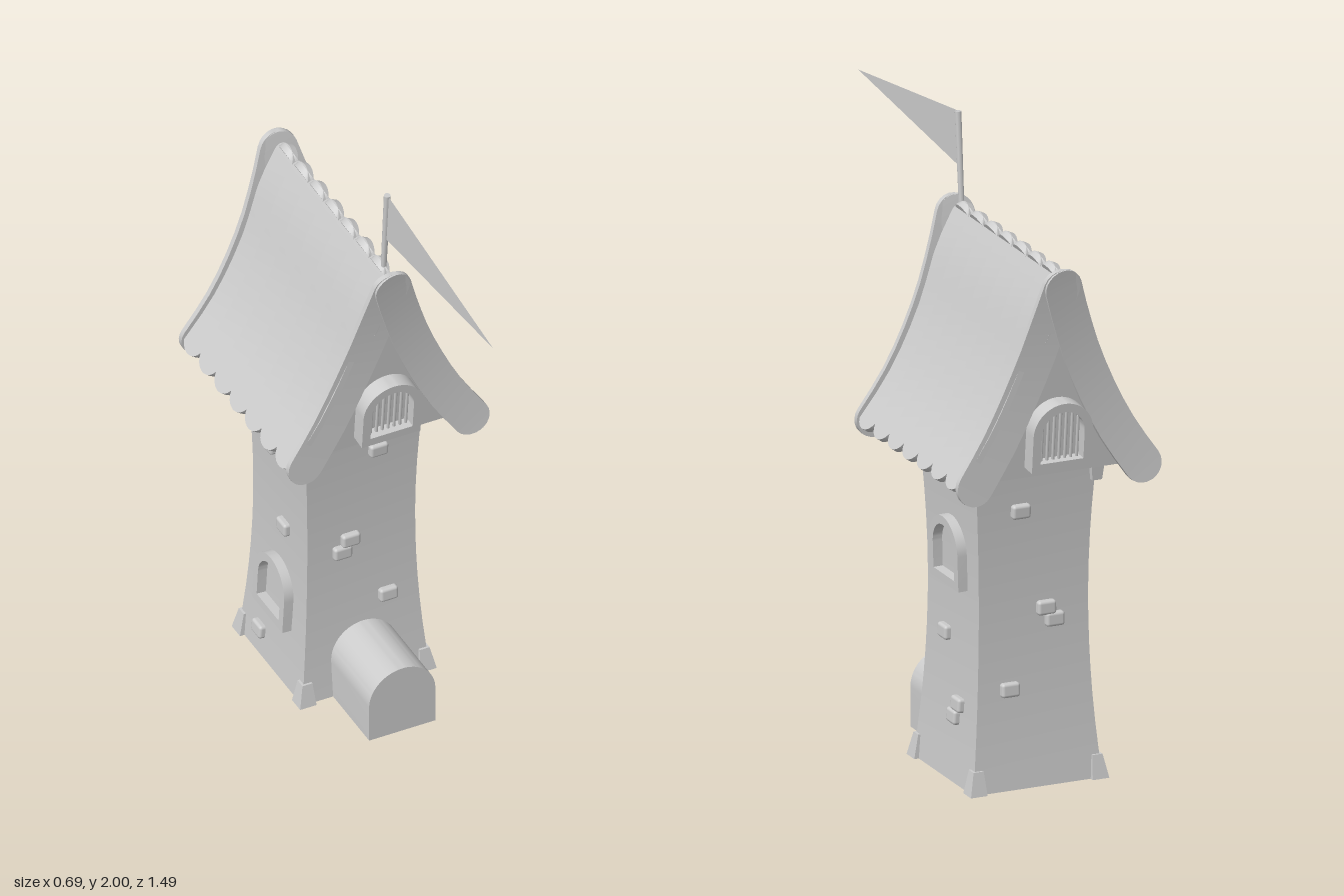
import * as THREE from 'three';
import { toCreasedNormals } from 'three/addons/utils/BufferGeometryUtils.js';
import { RoundedBoxGeometry } from 'three/addons/geometries/RoundedBoxGeometry.js';

const V = (x, y, z) => new THREE.Vector3(x, y, z);
const grey = new THREE.MeshStandardMaterial({ color: 0xcccccc });
const thin = new THREE.MeshStandardMaterial({ color: 0xcccccc, side: THREE.DoubleSide });
const ZC = -0.335; // z of the tower's axis

// Half width of the waisted tower and its slope at height y
const wallAt = (y) => 0.184 + 0.1 * (y - 0.58) ** 2;
const wallSlope = (y) => 0.2 * (y - 0.58);

function add(parent, name, geometry, material = grey) {
  const mesh = new THREE.Mesh(geometry, material);
  mesh.name = name;
  parent.add(mesh);
  return mesh;
}

// Skin over cross-section rings that turn counter-clockwise about the direction of travel
function loft(rings, { closed = true, capStart = true, capEnd = true } = {}) {
  const pos = [];
  const tri = (...pts) => pts.forEach((p) => pos.push(p.x, p.y, p.z));
  const n = rings[0].length;
  for (let i = 0; i < rings.length - 1; i++) {
    for (let j = 0; j < (closed ? n : n - 1); j++) {
      const k = (j + 1) % n, a = rings[i], b = rings[i + 1];
      tri(a[j], a[k], b[k]);
      tri(a[j], b[k], b[j]);
    }
  }
  const first = rings[0], last = rings[rings.length - 1];
  for (let j = 1; j < n - 1; j++) {
    if (capStart) tri(first[0], first[j + 1], first[j]);
    if (capEnd) tri(last[0], last[j], last[j + 1]);
  }
  const g = new THREE.BufferGeometry();
  g.setAttribute('position', new THREE.Float32BufferAttribute(pos, 3));
  return toCreasedNormals(g, 0.55);
}

// Rectangle ring around c spanned by half vectors a and b
const rect = (c, a, b) => [[-1, -1], [1, -1], [1, 1], [-1, 1]].map(([i, j]) =>
  c.clone().addScaledVector(a, i).addScaledVector(b, j));
const square = (x, y, z, h) => rect(V(x, y, z), V(0, 0, h), V(h, 0, 0));

// Round-ended board following a curve in the xy plane; halfZ and halfN may depend on the rounding
function bentBoard(curve, radius, halfZ, halfN, zAt) {
  const L = curve.getLength(), stops = [];
  for (let k = 0; k <= 5; k++) stops.push(radius * (1 - Math.cos((0.06 + 0.94 * k / 5) * Math.PI / 2)));
  const ends = stops.map((s) => L - s).reverse();
  for (let k = 1; k < 9; k++) stops.push(radius + (L - 2 * radius) * k / 9);
  return loft([...stops, ...ends].map((s) => {
    const e = Math.min(s, L - s, radius);
    const f = Math.sqrt(1 - (1 - e / radius) ** 2);
    const p = curve.getPointAt(s / L), d = curve.getTangentAt(s / L);
    p.z = zAt(p.y);
    return rect(p, V(0, 0, halfZ(f)), V(d.y, -d.x, 0).multiplyScalar(halfN(f)));
  }));
}

const roofCurve = (side, pts) => new THREE.CatmullRomCurve3(pts.map(([x, y]) => V(side * x, y, 0)));

function arch(w, h, y0 = 0, Type = THREE.Shape) {
  const s = new Type();
  s.moveTo(-w, y0);
  s.lineTo(w, y0);
  s.lineTo(w, h - w);
  s.absarc(0, h - w, w, 0, Math.PI, false);
  s.lineTo(-w, y0);
  return s;
}

function windowFrame(w, h, border, depth) {
  const shape = arch(w, h);
  shape.holes.push(arch(w - border, h - border, border, THREE.Path));
  const g = new THREE.ExtrudeGeometry(shape, { depth, bevelEnabled: false, curveSegments: 16 });
  return toCreasedNormals(g, 0.55);
}

// Pivot on one wall of the tower: u runs to the viewer's right when facing that wall
function onWall(parent, name, angle, u, y) {
  const turn = new THREE.Group(), pivot = new THREE.Group();
  turn.name = name;
  turn.position.z = ZC;
  turn.rotation.y = angle;
  pivot.position.set(u, y, wallAt(y));
  pivot.rotation.x = Math.atan(wallSlope(y));
  turn.add(pivot);
  parent.add(turn);
  return pivot;
}

// Gable trim for one end: barge boards and a barred window
function gableEnd(angle) {
  const g = new THREE.Group();
  g.name = angle ? 'backGable' : 'frontGable';
  g.position.z = ZC;
  g.rotation.y = angle;
  for (const side of [-1, 1]) {
    const curve = roofCurve(side, [[-0.015, 1.72], [0.035, 1.555], [0.09, 1.4], [0.19, 1.19], [0.315, 1.0]]);
    const zAt = (y) => 0.355 + 0.2 * (y - 1.25) ** 2 + side * 0.002;
    add(g, 'bargeBoard', bentBoard(curve, 0.06, () => 0.009, (f) => 0.061 * f, zAt));
  }
  const win = new THREE.Group();
  win.name = 'barredWindow';
  win.position.set(0, 1.08, 0.333);
  win.rotation.x = 0.1;
  add(win, 'windowFrame', windowFrame(0.1, 0.22, 0.028, 0.055));
  add(win, 'windowPane', new THREE.ShapeGeometry(arch(0.08, 0.2, 0.02))).position.z = 0.014;
  for (let i = -3; i <= 3; i++) {
    const x = i * 0.02, top = 0.122 + Math.sqrt(0.072 ** 2 - x * x);
    const bar = add(win, 'windowBar', new THREE.CylinderGeometry(0.005, 0.005, top - 0.025, 6));
    bar.position.set(x, (top + 0.025) / 2, 0.03);
  }
  g.add(win);
  return g;
}

export function createModel() {
  const model = new THREE.Group();
  model.name = 'tower';

  // Waisted tower body, open underneath
  const rings = [];
  for (let i = 0; i <= 12; i++) {
    const y = 1.05 * i / 12;
    rings.push(square(0, y, ZC, wallAt(y)));
  }
  add(model, 'towerWall', loft(rings, { capStart: false }), thin);

  // Corner feet and corbels
  for (const sx of [-1, 1]) for (const sz of [-1, 1]) {
    const block = (y0, c0, h0, y1, c1, h1) => loft([
      square(sx * c0, y0, ZC + sz * c0, h0), square(sx * c1, y1, ZC + sz * c1, h1)]);
    add(model, 'cornerFoot', block(0, 0.205, 0.028, 0.075, 0.2, 0.017));
    add(model, 'cornerCorbel', block(0.96, 0.2, 0.016, 1.05, 0.2, 0.026));
  }

  // Loose stones on the four walls: angle, u, y
  const stones = [];
  for (const [x, y] of [[0.05, 0.89], [-0.04, 0.565], [-0.068, 0.525], [0.085, 0.318]]) {
    stones.push([0, x, y], [Math.PI, -x, y]);
  }
  for (const [z, y] of [[-0.29, 0.45], [-0.405, 0.25], [-0.38, 0.205]]) stones.push([Math.PI / 2, ZC - z, y]);
  for (const [z, y] of [[-0.41, 0.865], [-0.385, 0.82], [-0.3, 0.56], [-0.42, 0.09]]) stones.push([-Math.PI / 2, z - ZC, y]);
  for (const [angle, u, y] of stones) {
    add(onWall(model, 'wallStone', angle, u, y), 'stone', new RoundedBoxGeometry(0.062, 0.046, 0.04, 2, 0.01));
  }

  // Arched side windows, high on the left wall and low on the right
  for (const [angle, y] of [[Math.PI / 2, 0.73], [-Math.PI / 2, 0.312]]) {
    const frame = windowFrame(0.103, 0.216, 0.028, 0.04).translate(0, -0.108, -0.008);
    add(onWall(model, 'sideWindow', angle, 0, y), 'windowFrame', frame);
  }

  // Barrel-vaulted porch, open underneath
  const outline = arch(0.113, 0.24).getPoints(20).slice(1);
  const vault = [-0.14, 0.128].map((z) => outline.map((p) => V(p.x, p.y, z)));
  add(model, 'porchVault', loft(vault, { closed: false, capStart: false, capEnd: false }), thin);
  add(model, 'porchFront', new THREE.ShapeGeometry(arch(0.113, 0.24), 20), thin).position.z = 0.128;

  // Attic prism with gables leaning outwards
  add(model, 'attic', loft([-1, 1].map((s) => [
    V(-0.23, 1.045, ZC + s * 0.33), V(0.23, 1.045, ZC + s * 0.33), V(0, 1.6, ZC + s * 0.385)])));
  model.add(gableEnd(0), gableEnd(Math.PI));

  // Roof planks with rounded ends, crossing at the ridge
  for (const side of [-1, 1]) {
    const curve = roofCurve(side, [[-0.012, 1.718], [0.058, 1.58], [0.13, 1.39], [0.225, 1.2], [0.338, 1.035]]);
    for (let i = -3; i <= 3; i++) {
      const z = ZC + i * 0.104;
      add(model, 'roofPlank', bentBoard(curve, 0.05, (f) => 0.054 * f, () => 0.01, () => z));
    }
  }

  // Pole and pennant
  const pole = add(model, 'flagPole', new THREE.CylinderGeometry(0.011, 0.009, 0.33, 8));
  pole.position.set(0, 1.835, 0.012);
  pole.rotation.x = 0.085;
  const pennant = new THREE.BufferGeometry().setFromPoints(
    [V(0, 2, 0.035), V(0, 1.825, 0.02), V(0, 1.91, 0.748)]);
  pennant.computeVertexNormals();
  add(model, 'pennant', pennant, thin);

  return model;
}
